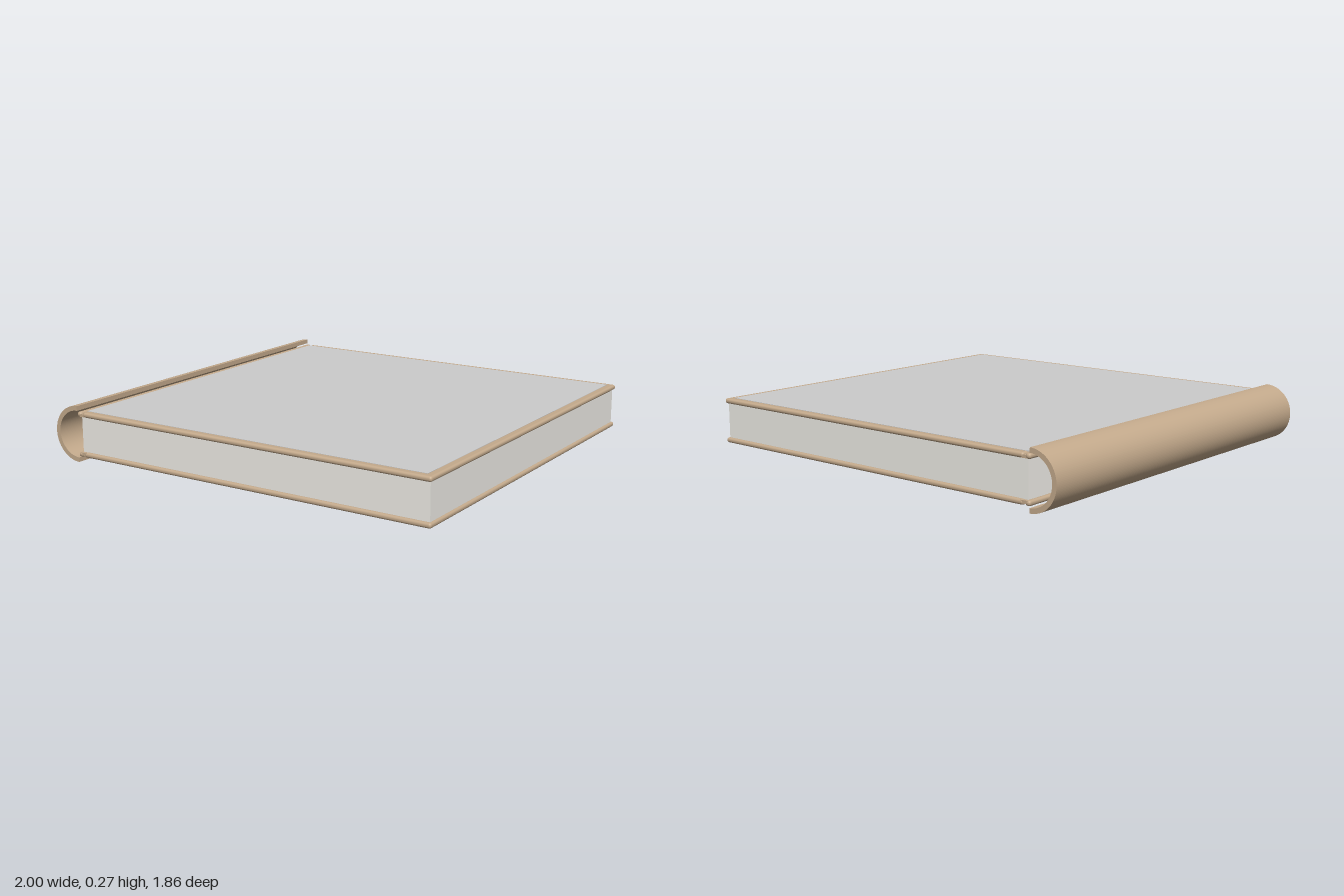
import * as THREE from 'three';
import { RoundedBoxGeometry } from 'three/addons/geometries/RoundedBoxGeometry.js';

const MID = 0.133; // height of the closed book's middle
const DEPTH = 1.86;

export function createModel() {
  const book = new THREE.Group();
  book.name = 'book';
  const leather = new THREE.MeshStandardMaterial({ color: 0xc4aa8c });
  const paper = new THREE.MeshStandardMaterial({ color: 0xf0eee8 });
  const grey = new THREE.MeshStandardMaterial({ color: 0xcccccc });

  const add = (parent, name, geometry, material, x = 0, y = 0, z = 0) => {
    const mesh = new THREE.Mesh(geometry, material);
    mesh.name = name;
    mesh.position.set(x, y, z);
    parent.add(mesh);
    return mesh;
  };
  // box or rounded board spanning x0..x1
  const slab = (parent, name, material, x0, x1, h, d, y, r = 0) => add(
    parent, name,
    r ? new RoundedBoxGeometry(x1 - x0, h, d, 4, r) : new THREE.BoxGeometry(x1 - x0, h, d),
    material, (x0 + x1) / 2, y);

  // covers: board, hinge strip and the thin groove joining them
  for (const [name, side] of [['bottomCover', -1], ['topCover', 1]]) {
    const cover = new THREE.Group();
    cover.name = name;
    const y = MID + side * 0.095;
    slab(cover, 'board', leather, -0.833, 0.996, 0.024, DEPTH, y, 0.011);
    slab(cover, 'hingeStrip', leather, -0.868, -0.842, 0.024, DEPTH, y, 0.011);
    slab(cover, 'hingeGroove', leather, -0.855, -0.82, 0.014, DEPTH - 0.004, y - side * 0.003);
    book.add(cover);
  }

  // page block
  slab(book, 'pages', paper, -0.85, 0.985, 0.168, 1.83, MID);

  // inlay on the top cover
  slab(book, 'coverPanel', grey, -0.832, 0.962, 0.004, 1.796, MID + 0.1065);

  // half-round hollow spine
  const arc = new THREE.Shape();
  arc.absarc(0, 0, 0.133, Math.PI / 2, Math.PI * 1.5, false);
  arc.absarc(0, 0, 0.111, Math.PI * 1.5, Math.PI / 2, true);
  arc.closePath();
  const spine = new THREE.ExtrudeGeometry(arc, { depth: DEPTH, bevelEnabled: false, curveSegments: 32 });
  add(book, 'spine', spine, leather, -0.867, MID, -DEPTH / 2);

  return book;
}
